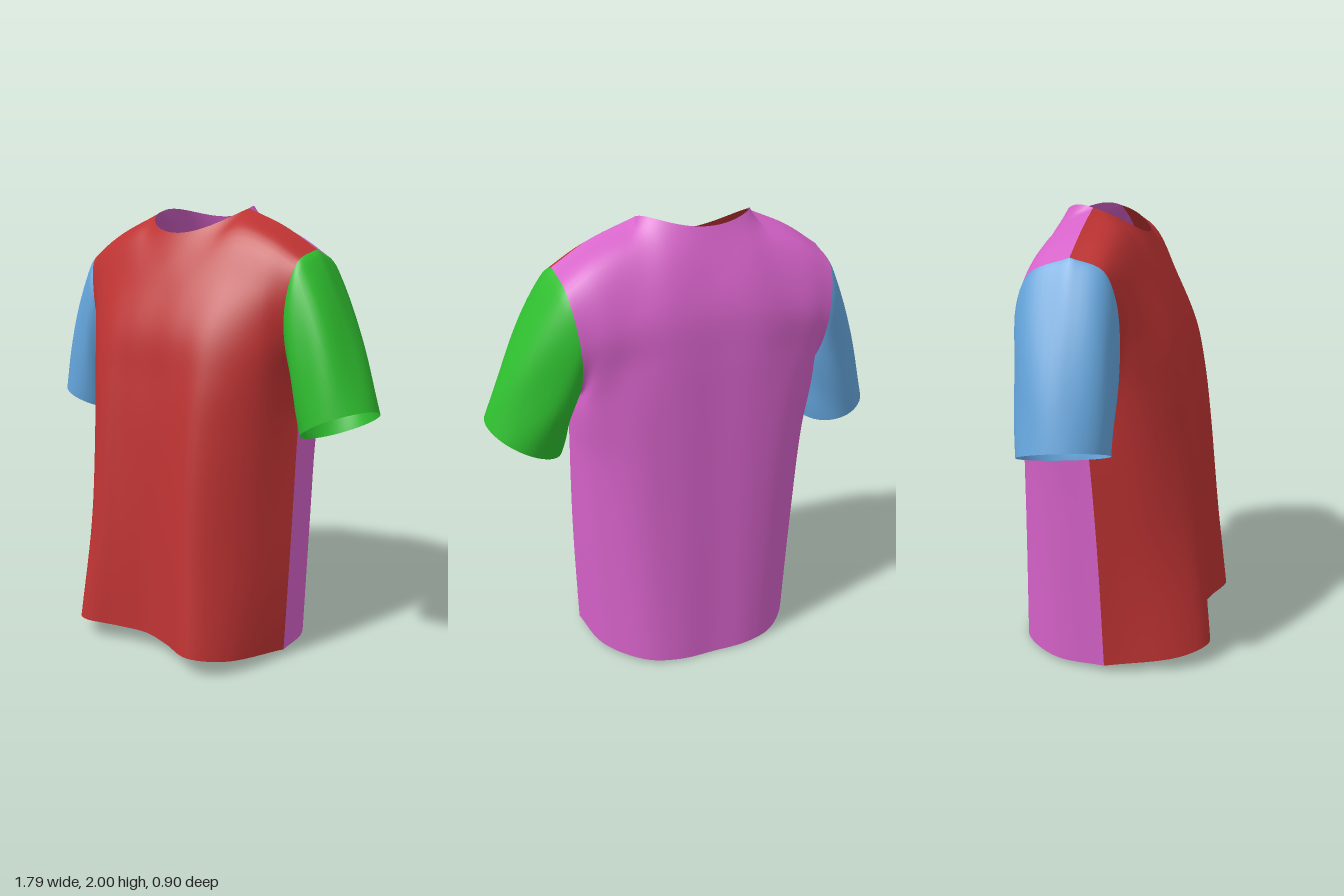
import * as THREE from 'three';

const STEP = 6; // subdivisions per control span
const V3 = (p) => new THREE.Vector3(...p);

// Half-panel cross-sections from hem to chest; each runs from the side edge to the centre.
const FRONT = [
  [[.525, .03, .01], [.435, .065, .335], [.32, .088, .448], [.15, .08, .39], [0, .08, .36]],
  [[.54, .55, -.01], [.427, .55, .255], [.288, .55, .395], [.15, .55, .375], [0, .55, .355]],
  [[.545, 1, -.04], [.452, 1, .2], [.288, 1.02, .345], [.15, 1.02, .34], [0, 1.02, .335]],
  [[.545, 1.18, -.06], [.475, 1.24, .17], [.305, 1.25, .31], [.15, 1.25, .315], [0, 1.25, .31]],
  [[.55, 1.4, .065], [.485, 1.43, .16], [.31, 1.45, .265], [.15, 1.45, .285], [0, 1.45, .285]],
  [[.565, 1.6, .09], [.48, 1.64, .13], [.32, 1.67, .17], [.16, 1.66, .20], [0, 1.66, .205]],
  [[.595, 1.76, .045], [.47, 1.835, .05], [.30, 1.89, .06], [.18, 1.83, .11], [0, 1.79, .145]],
];
const BACK = [
  [[.525, .03, .01], [.475, .015, -.22], [.325, .01, -.40], [.18, .005, -.45], [0, 0, -.45]],
  [[.54, .55, -.01], [.495, .55, -.23], [.345, .55, -.39], [.18, .55, -.435], [0, .55, -.435]],
  [[.545, 1, -.04], [.51, 1, -.25], [.37, 1, -.38], [.19, 1, -.42], [0, 1, -.42]],
  [[.545, 1.18, -.06], [.525, 1.23, -.28], [.395, 1.25, -.37], [.2, 1.25, -.41], [0, 1.25, -.41]],
  [[.542, 1.35, -.27], [.5, 1.4, -.33], [.38, 1.43, -.365], [.2, 1.45, -.40], [0, 1.45, -.40]],
  [[.557, 1.53, -.332], [.47, 1.6, -.348], [.36, 1.62, -.36], [.2, 1.64, -.38], [0, 1.64, -.38]],
  [[.59, 1.74, -.26], [.47, 1.82, -.25], [.32, 1.87, -.25], [.18, 1.83, -.31], [0, 1.81, -.32]],
];
// Shoulder seam, tip to neck
const SHOULDER = [[.605, 1.81, -.085], [.45, 1.905, -.08], [.255, 1.985, -.085]];

// Smooth curve through the points, STEP samples per span
function spline(points) {
  return new THREE.CatmullRomCurve3(points).getPoints((points.length - 1) * STEP);
}

// Surface through a grid of points
function gridMesh(name, rows, color) {
  const n = rows[0].length;
  const index = [];
  for (let i = 0; i < rows.length - 1; i++) {
    for (let j = 0; j < n - 1; j++) {
      const a = i * n + j, b = a + 1, c = a + n, d = c + 1;
      index.push(a, b, d, a, d, c);
    }
  }
  const geometry = new THREE.BufferGeometry().setFromPoints(rows.flat());
  geometry.setIndex(index);
  geometry.computeVertexNormals();
  const mesh = new THREE.Mesh(geometry, new THREE.MeshStandardMaterial({ color, side: THREE.DoubleSide }));
  mesh.name = name;
  return mesh;
}

// Top edge of a panel: shoulder seam, half-oval neckline, shoulder seam
function topRow(start, { depth, slope, drop }) {
  const seam = (side) => SHOULDER.map(([x, y, z]) => V3([x * side, y, z]));
  const neck = [];
  for (let i = 1; i < 4 * STEP; i++) {
    const angle = (i / (4 * STEP)) * Math.PI;
    const s = Math.sin(angle);
    neck.push(V3([.255 * start * Math.cos(angle), 1.985 + slope * s - drop * s * s, -.085 + depth * s]));
  }
  return [...spline(seam(start)), ...neck, ...spline(seam(-start).reverse())];
}

// Rows of a torso panel; start is the x side where each row begins
function panelRows(net, start, neckline) {
  const across = net.map((half) => {
    const left = half.map(([x, y, z]) => V3([x * start, y, z]));
    const right = half.slice(0, -1).reverse().map(([x, y, z]) => V3([-x * start, y, z]));
    return spline([...left, ...right]);
  });
  across.push(topRow(start, neckline));
  const columns = across[0].map((_, j) => spline(across.map((row) => row[j])));
  // the shoulders hang slightly to one side
  columns.flat().forEach((p) => { p.x -= .01 + .006 * p.y * p.y; });
  return columns[0].map((_, i) => columns.map((column) => column[i]));
}

// Sleeve from the armhole loop to a tilted elliptical cuff
function sleeve(name, armhole, cuff, side, color) {
  const [centre, out, fore] = cuff.map(V3);
  const n = armhole.length - 1;
  const root = new THREE.Vector3();
  armhole.slice(0, n).forEach((p) => root.addScaledVector(p, 1 / n));
  const rows = [];
  for (let i = 0; i <= 24; i++) {
    const t = i / 24;
    const axis = root.clone().lerp(centre, t);
    rows.push(armhole.map((p, j) => {
      const angle = (j / n) * Math.PI * 2;
      const end = centre.clone().addScaledVector(out, -Math.cos(angle)).addScaledVector(fore, Math.sin(angle));
      const point = p.clone().lerp(end, t);
      // fullness over the shoulder, with a few soft folds
      const crown = .036 * (.5 - .5 * Math.cos(angle + .25)) ** 2 * Math.sin(Math.PI * t ** .62);
      const folds = .006 * Math.sin(5 * angle + 4 * t) * Math.sin(Math.PI * t);
      return point.addScaledVector(point.clone().sub(axis).normalize(), crown + folds);
    }));
  }
  if (side > 0) rows.forEach((row) => row.reverse());
  return gridMesh(name, rows, color);
}

export function createModel() {
  const shirt = new THREE.Group();
  shirt.name = 'tShirt';

  // Torso
  const front = panelRows(FRONT, -1, { depth: .185, slope: -.05, drop: .055 });
  const back = panelRows(BACK, 1, { depth: -.17, slope: .07, drop: .095 });
  shirt.add(gridMesh('frontPanel', front, 0xbf3333), gridMesh('backPanel', back, 0xd562c8));

  // Armhole loop: armpit, up the front edge, over the shoulder, down the back edge
  const armhole = (side) => {
    const edge = (rows, first) => rows.slice(3 * STEP).map((row) => row[first ? 0 : row.length - 1]);
    return [...edge(front, side < 0), ...edge(back, side > 0).reverse().slice(1)];
  };

  // Sleeves: cuff centre, outward half-axis, forward half-axis
  shirt.add(
    sleeve('leftSleeve', armhole(1), [[.733, 1.085, -.05], [.16, .078, 0], [0, .03, .18]], 1, 0x2fbf2f),
    sleeve('rightSleeve', armhole(-1), [[-.75, 1.052, -.09], [-.145, .057, 0], [0, .02, .19]], -1, 0x64a5dc),
  );
  return shirt;
}
